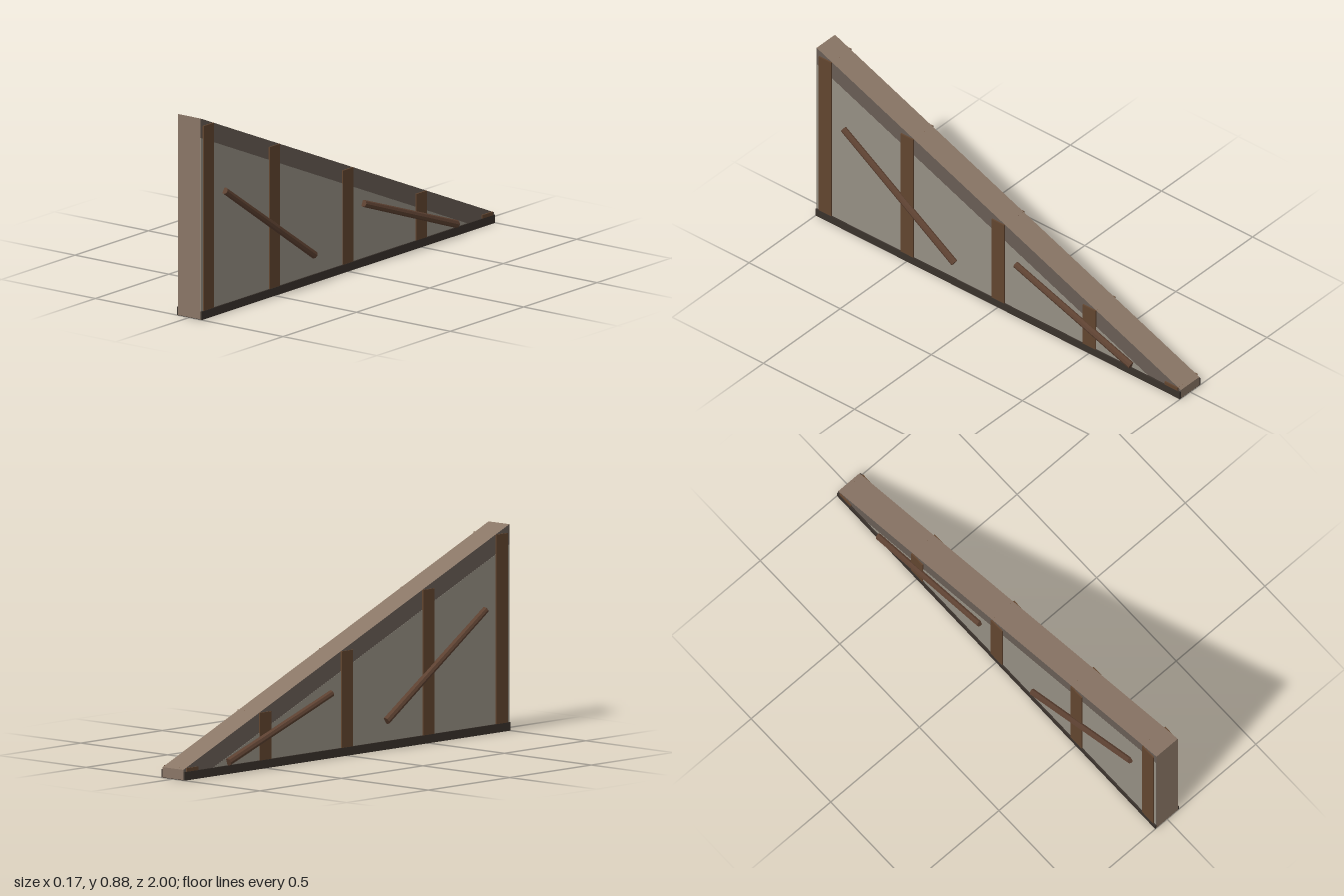
import * as THREE from 'three';

const mat = (color) => new THREE.MeshStandardMaterial({ color, flatShading: true });
const SLOPE = 0.415;
const topAt = (z) => 0.46 + SLOPE * z; // height of the sloping deck at z

export function createModel() {
  const group = new THREE.Group();
  const deck = mat(0x8a7666), edge = mat(0x685d55), panel = mat(0x958f83);
  const timber = mat(0x62452f), pole = mat(0x5e4232), dark = mat(0x3a322c);

  const add = (name, geometry, material, x = 0, y = 0, z = 0) => {
    const mesh = new THREE.Mesh(geometry, material);
    mesh.name = name;
    mesh.position.set(x, y, z);
    group.add(mesh);
    return mesh;
  };

  // Extrude a side outline, given as [z, y], evenly about x = 0
  const sideExtrude = (points, halfWidth) => {
    const shape = new THREE.Shape(points.map(([z, y]) => new THREE.Vector2(-z, y)));
    const geometry = new THREE.ExtrudeGeometry(shape, { depth: halfWidth * 2, bevelEnabled: false });
    geometry.translate(0, 0, -halfWidth);
    return geometry.rotateY(Math.PI / 2);
  };

  // Wedge with dark edge bands on its sides
  add('rampBody', sideExtrude([[1, 0.002], [1, topAt(1)], [-1, topAt(-1)], [-1, 0.002]], 0.06), [edge, deck]);

  // Infill below the deck, showing on both sides
  add('sidePanels', sideExtrude([[0.998, 0.03], [0.998, 0.79], [-0.83, 0.03]], 0.0608), panel);

  // Sill under the whole ramp
  add('baseSill', new THREE.BoxGeometry(0.134, 0.036, 1.998), dark, 0, 0.018, 0);

  // Upright posts, slightly proud of both sides
  [0.95, 0.5, 0, -0.5, -0.95].forEach((z) => {
    const top = topAt(z) - 0.0145, bottom = 0.01;
    add('post', new THREE.BoxGeometry(0.132, top - bottom, 0.07), timber, 0, (top + bottom) / 2, z);
  });

  // Slanted round braces on each side
  const braces = [
    [[0.845, 0.53], [0.235, 0.122]],
    [[-0.1, 0.275], [-0.735, 0.051]],
  ];
  for (const side of [-1, 1]) {
    for (const [[z1, y1], [z2, y2]] of braces) {
      const upper = new THREE.Vector3(side * 0.0685, y1, z1);
      const lower = new THREE.Vector3(side * 0.0685, y2, z2);
      const axis = upper.clone().sub(lower);
      const mesh = add('brace', new THREE.CylinderGeometry(0.015, 0.017, axis.length(), 8), pole);
      mesh.position.copy(upper).add(lower).multiplyScalar(0.5);
      mesh.quaternion.setFromUnitVectors(new THREE.Vector3(0, 1, 0), axis.normalize());
    }
  }
  return group;
}
